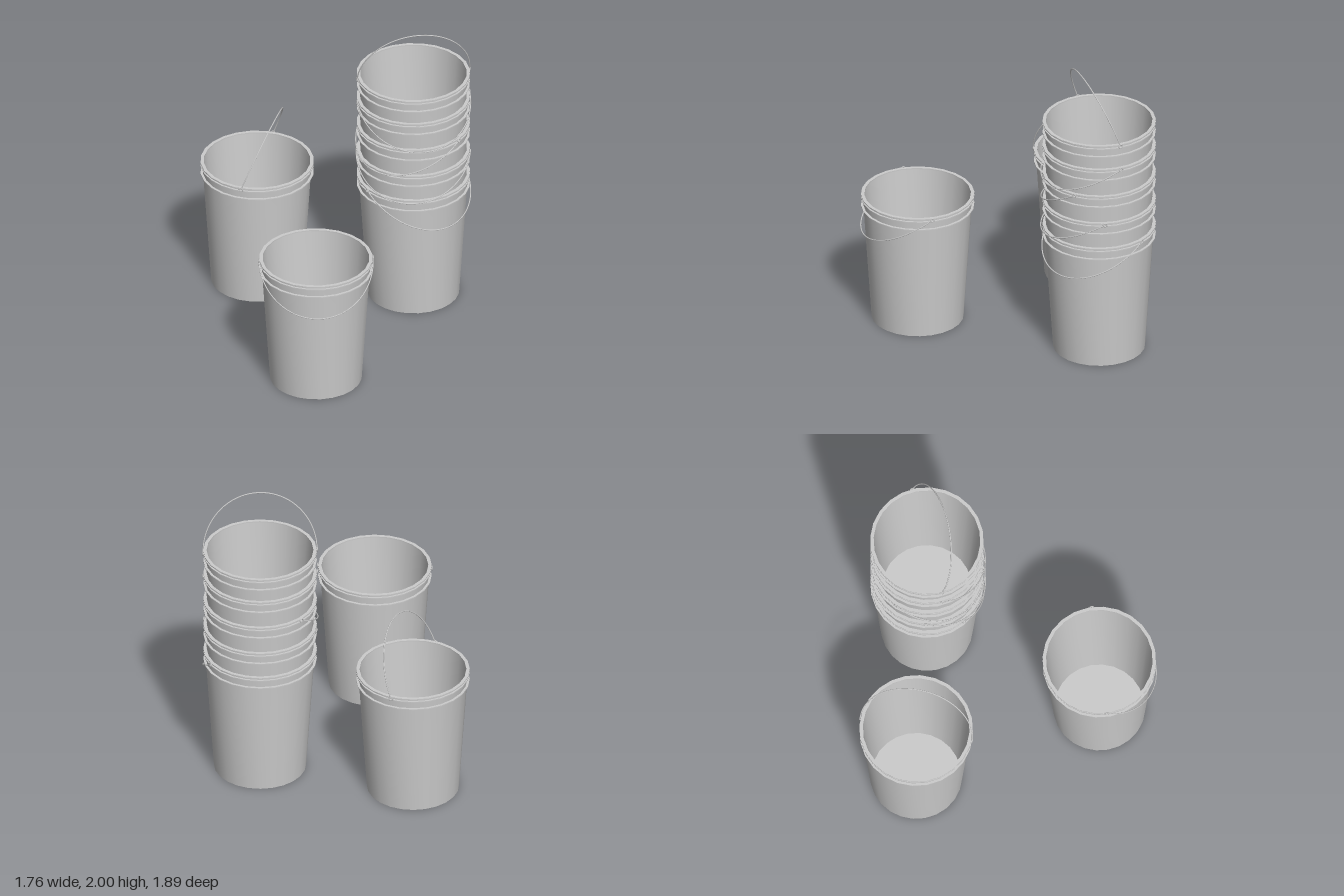
import * as THREE from 'three';
import { toCreasedNormals } from 'three/addons/utils/BufferGeometryUtils.js';

const SIDES = 24, HEIGHT = 0.89, PIVOT_Y = 0.88, PIVOT_R = 0.37;
const R_BOTTOM = 0.298, R_TOP = 0.356, WALL = 0.009;
const metal = new THREE.MeshStandardMaterial({ color: 0xcccccc });

function mesh(name, geometry) {
  const m = new THREE.Mesh(geometry, metal);
  m.name = name;
  return m;
}

const lathe = (points) => toCreasedNormals(
  new THREE.LatheGeometry(points.map(([r, y]) => new THREE.Vector2(r, y)), SIDES), 0.6);

// Tapered thin-walled shell with an inner floor
const shellGeometry = lathe([
  [0, 0], [R_BOTTOM, 0], [R_TOP, HEIGHT - 0.002], [R_TOP - WALL, HEIGHT - 0.002],
  [R_BOTTOM - WALL, 0.012], [0, 0.012],
]);

// Flat ring around the wall, used for the lip and the ribs
const ribGeometry = (y, h, inner) => lathe([
  [inner, y], [0.367, y], [0.367, y + h], [inner, y + h], [inner, y],
]);
const ribs = [['lip', 0.882, 0.008, 0.345], ['upperRib', 0.864, 0.006, 0.352], ['lowerRib', 0.807, 0.006, 0.348]]
  .map(([name, y, h, inner]) => [name, ribGeometry(y, h, inner)]);

const eyeletGeometry = new THREE.TorusGeometry(0.012, 0.004, 6, 12);

// Wire bail: half an ellipse between the pivots, leaning out and rising (or dropping)
function handleGeometry(rise, out) {
  const points = [];
  for (let i = 0; i <= 20; i++) {
    const t = Math.PI * i / 20;
    points.push(new THREE.Vector3(
      PIVOT_R * Math.cos(t), PIVOT_Y + rise * Math.sin(t), out * Math.sin(t)));
  }
  return new THREE.TubeGeometry(new THREE.CatmullRomCurve3(points), 40, 0.004, 6);
}

function bucket(name, x, y, z, yawDegrees, rise, out) {
  const g = new THREE.Group();
  g.name = name;
  g.position.set(x, y, z);
  g.add(mesh('shell', shellGeometry));
  for (const [ribName, geometry] of ribs) g.add(mesh(ribName, geometry));

  // Handle and its eyelets turn together about the bucket axis
  const bail = new THREE.Group();
  bail.name = 'bail';
  bail.rotation.y = THREE.MathUtils.degToRad(yawDegrees);
  bail.add(mesh('handle', handleGeometry(rise, out)));
  for (const side of [-1, 1]) {
    const eyelet = mesh(side > 0 ? 'leftEyelet' : 'rightEyelet', eyeletGeometry);
    eyelet.position.set(side * PIVOT_R, PIVOT_Y, 0);
    eyelet.rotation.y = Math.PI / 2;
    bail.add(eyelet);
  }
  g.add(bail);
  return g;
}

export function createModel() {
  const model = new THREE.Group();
  model.name = 'buckets';

  // Two single buckets
  model.add(bucket('frontBucket', 0.037, 0, 0.577, 11.7, -0.23, 0.368));
  model.add(bucket('backBucket', -0.515, 0, -0.57, 82, 0.366, 0.135));

  // Nested stack: base height, handle yaw, handle rise, handle reach
  const stack = new THREE.Group();
  stack.name = 'bucketStack';
  [
    [0, 45, -0.23, 0.37],
    [0.186, 3, -0.19, 0.378],
    [0.382, -29, -0.195, 0.378],
    [0.578, 19.5, -0.195, 0.378],
    [0.75, 19, 0.366, 0.13],
  ].forEach(([y, yaw, rise, out], i) =>
    stack.add(bucket('stackedBucket' + (i + 1), 0.505, y, -0.572, yaw, rise, out)));
  model.add(stack);
  return model;
}
